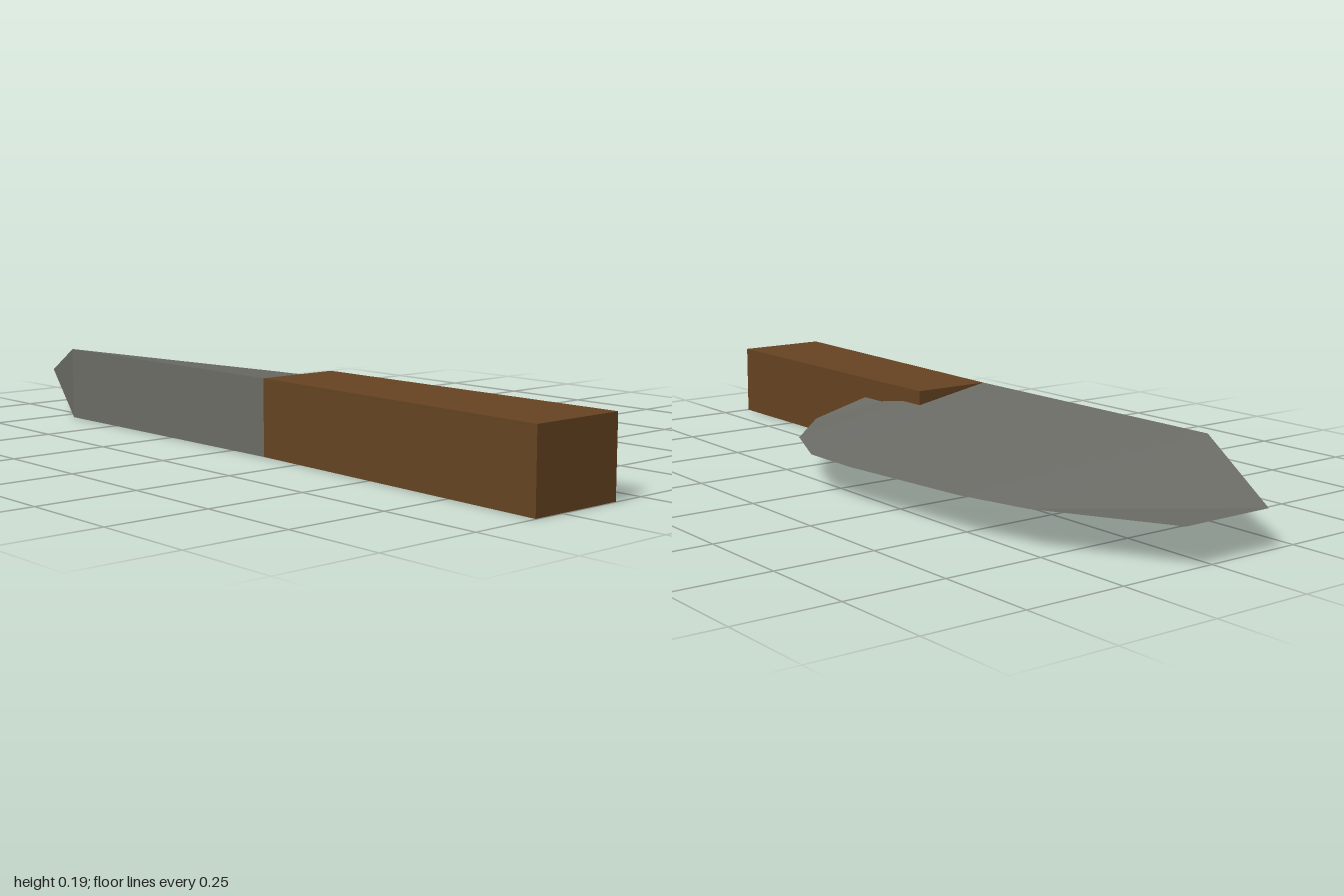
import * as THREE from 'three';

const HALF = 0.094; // half the thickness, also the height of the cutting edge

// Geometry from a list of flat polygons given as corner points, counter-clockwise
function facets(polygons) {
  const points = [];
  for (const p of polygons) {
    for (let i = 1; i < p.length - 1; i++) points.push(...p[0], ...p[i], ...p[i + 1]);
  }
  const geometry = new THREE.BufferGeometry();
  geometry.setAttribute('position', new THREE.Float32BufferAttribute(points, 3));
  geometry.computeVertexNormals();
  return geometry;
}

// Wedge blade: each station runs from the thick spine to the sharp edge
function bladeGeometry() {
  // x, edge z, spine z, spine half thickness
  const stations = [
    [-1, -0.08, 0.167, 0],
    [-0.7, -0.245, 0.293, HALF],
    [-0.52, -0.29, 0.293, HALF],
    [-0.16, -0.328, 0.293, HALF],
    [0.01, -0.328, 0.293, HALF],
    [0.195, -0.245, 0.293, HALF],
    [0.37, -0.08, 0.293, HALF],
  ].map(([x, edgeZ, spineZ, half]) => ({
    edge: [x, HALF, edgeZ],
    top: [x, HALF + half, spineZ],
    bottom: [x, HALF - half, spineZ],
  }));

  const polygons = [];
  for (let i = 0; i < stations.length - 1; i++) {
    const a = stations[i], b = stations[i + 1];
    polygons.push([a.top, b.top, b.edge, a.edge]);          // upper bevel
    polygons.push([a.edge, b.edge, b.bottom, a.bottom]);    // lower bevel
    polygons.push([a.bottom, b.bottom, b.top, a.top]);      // spine
  }
  const heel = stations[stations.length - 1];
  polygons.push([heel.bottom, heel.edge, heel.top]);
  return facets(polygons);
}

// Square grip whose front face flares slightly toward the butt
function handleGeometry() {
  const shape = new THREE.Shape([
    new THREE.Vector2(0.12, -0.293),
    new THREE.Vector2(0.998, -0.328),
    new THREE.Vector2(0.998, -0.08),
    new THREE.Vector2(0.12, -0.08),
  ]);
  const geometry = new THREE.ExtrudeGeometry(shape, { depth: HALF * 2, bevelEnabled: false });
  return geometry.rotateX(-Math.PI / 2);
}

export function createModel() {
  const steel = new THREE.MeshStandardMaterial({ color: 0x6b6b66 });
  steel.name = 'grey steel';
  const wood = new THREE.MeshStandardMaterial({ color: 0x654321 });
  wood.name = 'brown wood';

  const blade = new THREE.Mesh(bladeGeometry(), steel);
  blade.name = 'blade';
  const handle = new THREE.Mesh(handleGeometry(), wood);
  handle.name = 'handle';

  const group = new THREE.Group();
  group.name = 'cleaver';
  group.add(blade, handle);
  return group;
}
